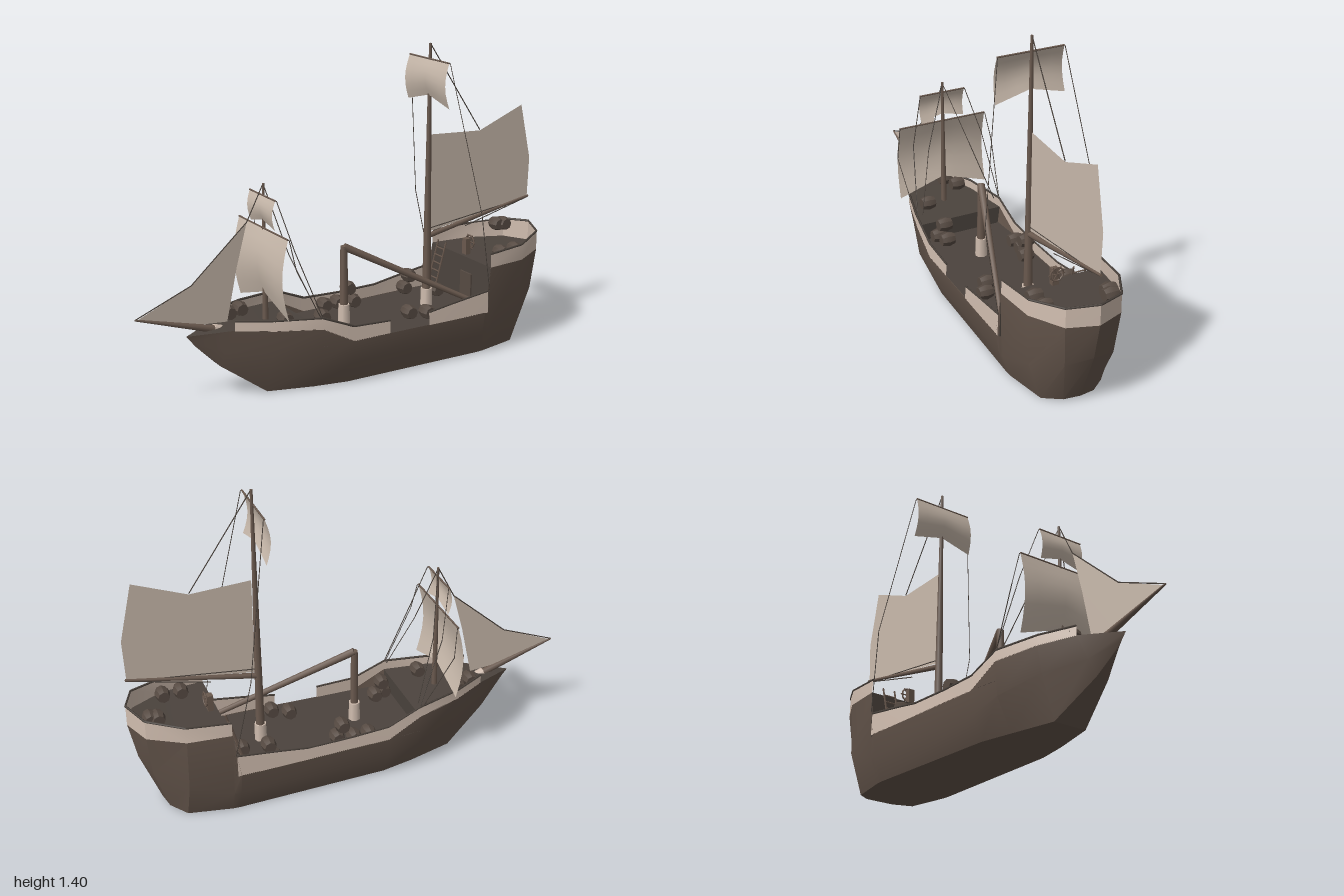
import * as THREE from 'three';
import { toCreasedNormals } from 'three/addons/utils/BufferGeometryUtils.js';

const mat = (name, color, double) => {
  const m = new THREE.MeshStandardMaterial({ color });
  m.name = name;
  if (double) m.side = THREE.DoubleSide;
  return m;
};

export function createModel() {
  const hullWood = mat('hull wood', 0x64554b, true);
  const deckWood = mat('deck wood', 0x4b433d, true);
  const cream = mat('cream bulwark', 0xd0bdaf, true);
  const canvas = mat('sail canvas', 0xc9baac, true);
  const spar = mat('spar wood', 0x6b5a4f);
  const rope = mat('rope', 0x4c443e);
  const barrelWood = mat('barrel wood', 0x574b43);

  const model = new THREE.Group();
  model.name = 'sailingShip';
  const V = (x, y, z = 0) => new THREE.Vector3(x, y, z);
  const add = (name, geo, material, parent = model) => {
    const m = new THREE.Mesh(geo, material);
    m.name = name;
    parent.add(m);
    return m;
  };
  // tapered round bar between two points
  const rod = (name, a, b, r0, r1, material, sides = 8) => {
    const m = add(name, new THREE.CylinderGeometry(r1, r0, a.distanceTo(b), sides), material);
    m.position.copy(a).lerp(b, 0.5);
    m.quaternion.setFromUnitVectors(V(0, 1, 0), b.clone().sub(a).normalize());
    return m;
  };
  const line = (name, pts, r = 0.0025) => {
    for (let i = 1; i < pts.length; i++) rod(name, pts[i - 1], pts[i], r, r, rope, 4);
  };
  // surface through rows of points
  const loft = (rows) => {
    const n = rows[0].length, index = [];
    for (let i = 0; i < rows.length - 1; i++) {
      for (let j = 0; j < n - 1; j++) {
        const a = i * n + j, d = a + 1, b = a + n, c = b + 1;
        index.push(a, d, b, b, d, c);
      }
    }
    const g = new THREE.BufferGeometry();
    g.setAttribute('position', new THREE.Float32BufferAttribute(rows.flat().flatMap((p) => p.toArray()), 3));
    g.setIndex(index);
    return toCreasedNormals(g, 0.45);
  };

  // hull: three fore-and-aft lines of [x, y, half width]
  const sheer = [[-0.78, 0.29, 0], [-0.6, 0.31, 0.09], [-0.45, 0.3, 0.16], [-0.25, 0.285, 0.21], [-0.1, 0.205, 0.216],
    [0.58, 0.205, 0.232], [0.61, 0.41, 0.225], [0.8, 0.41, 0.207], [0.95, 0.415, 0.125], [1, 0.42, 0]];
  const chine = [[-0.755, 0.26, 0], [-0.63, 0.21, 0.06], [-0.45, 0.19, 0.14], [-0.25, 0.14, 0.2], [-0.1, 0.1, 0.205],
    [0.58, 0.1, 0.215], [0.61, 0.105, 0.214], [0.8, 0.18, 0.2], [0.93, 0.225, 0.11], [0.965, 0.25, 0]];
  const bilge = [[-0.74, 0.24, 0], [-0.64, 0.14, 0.03], [-0.45, 0.004, 0.08], [-0.25, 0, 0.13], [-0.1, 0, 0.16],
    [0.58, 0, 0.18], [0.61, 0, 0.178], [0.8, 0, 0.14], [0.86, 0.01, 0.07], [0.875, 0.015, 0]];
  add('hull', loft(sheer.map((s, i) => {
    const side = [s, chine[i], bilge[i]];
    return [...side.map((p) => V(...p)), ...side.reverse().map((p) => V(p[0], p[1], -p[2]))];
  })), hullWood);

  // decks and the bulkheads that close them
  const deck = (name, pts) => add(name, loft(pts.map(([x, y, w]) => [V(x, y, -w), V(x, y, w)])), deckWood);
  deck('foreDeck', sheer.slice(0, 4));
  deck('mainDeck', [[-0.25, 0.204, 0.205], [-0.1, 0.204, 0.215], [0.6, 0.204, 0.228]]);
  deck('aftDeck', sheer.slice(6));
  deck('foreBulkhead', [[-0.25, 0.2, 0.2], [-0.25, 0.285, 0.21]]);
  deck('aftBulkhead', [[0.6, 0.2, 0.226], [0.61, 0.41, 0.224]]);

  // bulwarks: [x, bottom, top, half width], with a dark rail on top
  const bulwark = (name, pts, side) => {
    const low = pts.map(([x, b, , w]) => V(x, b, w * side));
    const high = pts.map(([x, , t, w]) => V(x, t, w * side * 0.985));
    add(name, loft(low.map((p, i) => [high[i], p])), cream);
    line('rail', high, 0.005);
  };
  const bow = [[-0.6, 0.308, 0.35, 0.09], [-0.45, 0.298, 0.343, 0.16], [-0.25, 0.283, 0.333, 0.21], [-0.1, 0.203, 0.27, 0.216]];
  const waist = [[0.08, 0.203, 0.262, 0.22], [0.28, 0.203, 0.262, 0.225]];
  const after = [[0.4, 0.203, 0.28, 0.228], [0.595, 0.203, 0.305, 0.232]];
  const poop = [[0.61, 0.41, 0.472, 0.225], [0.8, 0.41, 0.482, 0.207], [0.95, 0.415, 0.502, 0.125], [1, 0.42, 0.513, 0]];
  bulwark('foreBulwark', [...bow, waist[0]], 1);
  bulwark('sideBulwark', [waist[1], ...after], 1);
  bulwark('farBulwark', [...bow, ...waist, ...after], -1);
  for (const s of [1, -1]) bulwark('poopBulwark', poop, s);

  // masts, crane and spars
  rod('mainMast', V(0.42, 0.2), V(0.42, 1.4), 0.021, 0.006, spar);
  rod('foreMast', V(-0.41, 0.28), V(-0.41, 0.89), 0.014, 0.005, spar);
  rod('craneMast', V(-0.02, 0.2), V(-0.02, 0.555), 0.02, 0.016, spar);
  rod('craneBoom', V(-0.02, 0.552), V(0.59, 0.23, 0.205), 0.017, 0.011, spar);
  rod('bowsprit', V(-0.62, 0.29), V(-1, 0.405), 0.018, 0.004, spar);
  rod('bowspritCollar', V(-0.62, 0.29), V(-0.655, 0.301), 0.021, 0.021, cream);
  rod('mainBoom', V(0.42, 0.53), V(0.99, 0.637), 0.013, 0.006, spar);
  rod('mainMastStep', V(0.42, 0.204), V(0.42, 0.285), 0.028, 0.026, cream);
  rod('craneStep', V(-0.02, 0.204), V(-0.02, 0.29), 0.028, 0.025, cream);

  // fore-and-aft sails
  const flatSail = (name, pts) => add(name,
    new THREE.ShapeGeometry(new THREE.Shape(pts.map((p) => new THREE.Vector2(...p)))), canvas);
  flatSail('mainSail', [[0.435, 0.55], [0.7, 0.59], [0.985, 0.64], [0.992, 0.82], [0.935, 1.075], [0.7, 0.982], [0.435, 0.995]]);
  flatSail('jib', [[-0.99, 0.403], [-0.71, 0.33], [-0.59, 0.32], [-0.54, 0.55], [-0.49, 0.735], [-0.75, 0.505]]);

  // square sails billowing forward, with an arched foot
  const squareSail = (name, x, y0, y1, wTop, wFoot, belly) => {
    const g = new THREE.PlaneGeometry(1, 1, 6, 6), p = g.attributes.position;
    for (let i = 0; i < p.count; i++) {
      const u = p.getX(i) * 2, v = p.getY(i) + 0.5;
      const arch = 0.2 * (y1 - y0) * (1 - Math.abs(u)) * (1 - v);
      p.setXYZ(i, x - belly * Math.sin(Math.PI * v), y0 + (y1 - y0) * v + arch, u * (wFoot + (wTop - wFoot) * v));
    }
    g.computeVertexNormals();
    add(name, g, canvas);
    rod(name + 'Yard', V(x, y1, -wTop), V(x, y1, wTop), 0.004, 0.004, spar, 6);
  };
  squareSail('topSail', 0.415, 1.135, 1.333, 0.148, 0.155, 0.022);
  squareSail('foreTopSail', -0.415, 0.71, 0.84, 0.11, 0.105, 0.015);
  squareSail('foreSail', -0.415, 0.35, 0.7, 0.212, 0.215, 0.03);

  // rigging
  line('mainStay', [V(0.42, 1.4), V(0.7, 0.985)]);
  line('jibStay', [V(-0.41, 0.89), V(-0.49, 0.735), V(-0.75, 0.505), V(-1, 0.405)]);
  line('mainSheet', [V(0.99, 0.632), V(0.43, 0.565)]);
  line('boomSheet', [V(0.98, 0.63), V(0.63, 0.545)]);
  for (const s of [1, -1]) {
    line('topSailBrace', [V(0.42, 1.333, 0.148 * s), V(0.53, 0.67, 0.255 * s), V(0.6, 0.31, 0.232 * s)], 0.0018);
    line('foreTopBrace', [V(-0.41, 0.84, 0.11 * s), V(-0.36, 0.63, 0.17 * s), V(-0.25, 0.335, 0.205 * s)], 0.002);
    line('foreBrace', [V(-0.41, 0.7, 0.212 * s), V(-0.39, 0.57, 0.235 * s), V(-0.26, 0.335, 0.21 * s)], 0.002);
    line('foreShroud', [V(-0.41, 0.885), V(-0.35, 0.6, 0.1 * s), V(-0.25, 0.335, 0.18 * s)], 0.002);
  }

  // barrels lying about the decks: [x, base, z]
  const barrels = [[-0.55, 0.3, -0.07], [-0.48, 0.295, -0.1], [-0.37, 0.29, 0.1], [-0.21, 0.204, 0.12], [-0.16, 0.204, 0.1],
    [-0.19, 0.265, 0.1], [-0.02, 0.204, -0.17], [0.05, 0.204, -0.17], [0.12, 0.204, -0.15], [0.1, 0.265, -0.16],
    [0.25, 0.204, 0.11], [0.32, 0.204, 0.15], [0.42, 0.204, -0.18], [0.44, 0.26, -0.175], [0.53, 0.204, -0.08],
    [0.89, 0.46, -0.1], [0.92, 0.46, -0.09], [0.73, 0.41, 0.14], [0.81, 0.41, 0.14]];
  const profile = [[0, -0.031], [0.026, -0.031], [0.034, 0], [0.026, 0.031], [0, 0.031]].map((p) => new THREE.Vector2(...p));
  const barrelGeo = toCreasedNormals(new THREE.LatheGeometry(profile, 8), 0.5);
  barrels.forEach(([x, y, z], i) => {
    const b = add('barrel', barrelGeo, barrelWood);
    b.position.set(x, y + 0.032, z);
    b.rotation.set(Math.PI / 2, 0, i * 1.3, 'YXZ');
    b.rotation.y = i * 1.3;
  });

  // ladder and door on the aft bulkhead
  for (const z of [-0.17, -0.11]) rod('ladderRail', V(0.54, 0.204, z), V(0.605, 0.44, z), 0.005, 0.005, spar, 4);
  for (let i = 1; i < 7; i++) {
    const x = 0.54 + i * 0.0093, y = 0.204 + i * 0.0337;
    rod('ladderRung', V(x, y, -0.17), V(x, y, -0.11), 0.004, 0.004, spar, 4);
  }
  add('cabinDoor', new THREE.BoxGeometry(0.008, 0.14, 0.08), barrelWood).position.set(0.597, 0.275, 0.06);

  // steering stand and wheel
  add('wheelStand', new THREE.BoxGeometry(0.025, 0.075, 0.03), spar).position.set(0.64, 0.447, 0);
  const wheel = add('steeringWheel', new THREE.TorusGeometry(0.03, 0.004, 5, 12), spar);
  wheel.position.set(0.66, 0.465, 0);
  wheel.rotation.y = Math.PI / 2;
  for (let i = 0; i < 3; i++) {
    const a = (i * Math.PI) / 3, c = Math.cos(a) * 0.037, s = Math.sin(a) * 0.037;
    rod('wheelSpoke', V(0.66, 0.465 - s, -c), V(0.66, 0.465 + s, c), 0.003, 0.003, spar, 4);
  }
  return model;
}
